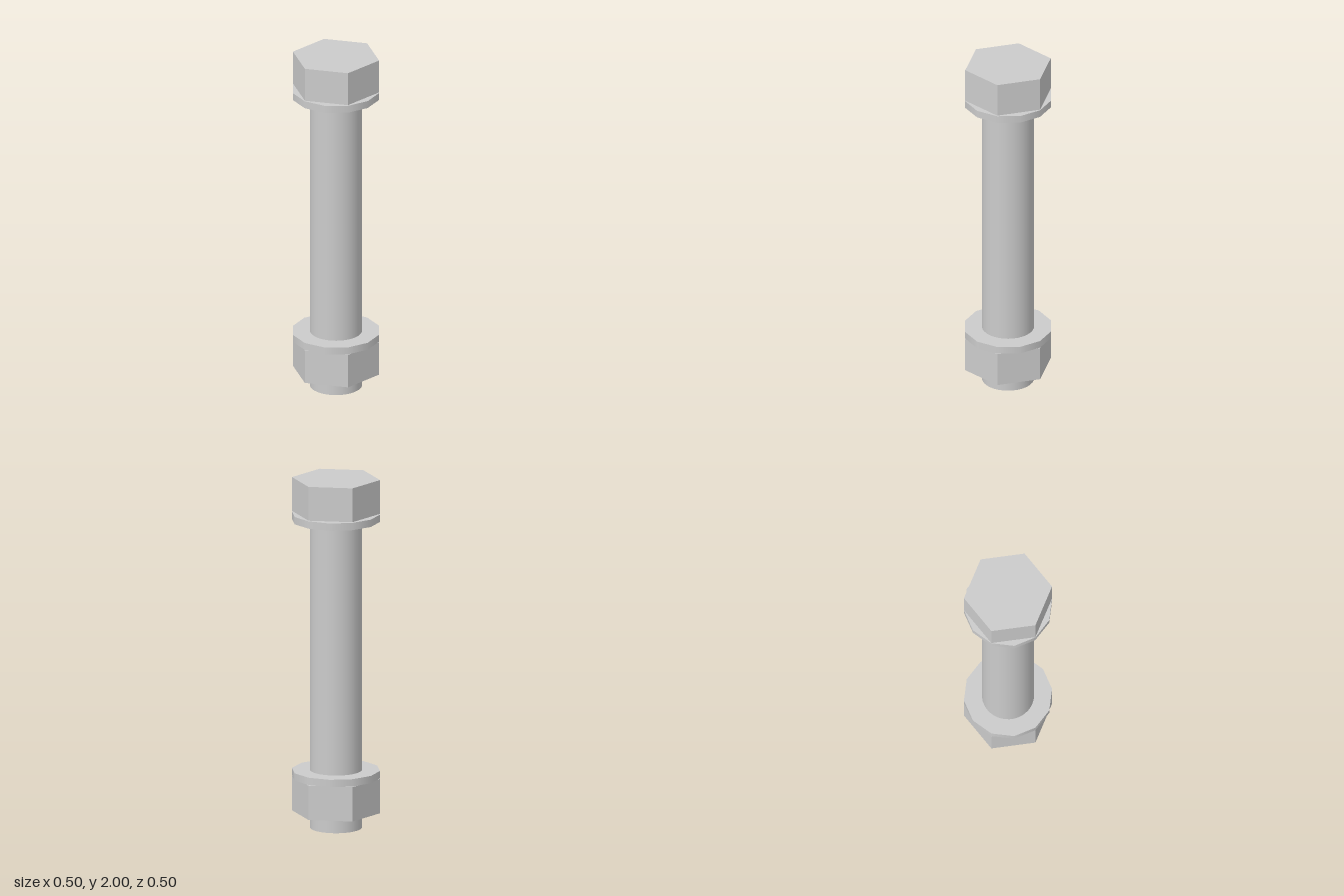
import * as THREE from 'three';

export function createModel() {
  const model = new THREE.Group();
  const smooth = new THREE.MeshStandardMaterial({ color: 0xcccccc });
  const flat = new THREE.MeshStandardMaterial({ color: 0xcccccc, flatShading: true });

  // upright cylinder or prism spanning y0..y1
  function addPrism(name, radius, y0, y1, sides, material, thetaStart = 0) {
    const geometry = new THREE.CylinderGeometry(radius, radius, y1 - y0, sides, 1, false, thetaStart);
    const mesh = new THREE.Mesh(geometry, material);
    mesh.name = name;
    mesh.position.y = (y0 + y1) / 2;
    model.add(mesh);
  }

  // round shank, running up into the head
  addPrism('shank', 0.146, 0, 1.9, 32, smooth);

  // hexagonal head and nut, corners pointing along x
  addPrism('head', 0.248, 1.806, 2, 6, flat, Math.PI / 2);
  addPrism('nut', 0.248, 0.088, 0.285, 6, flat, Math.PI / 2);

  // twelve-sided washers
  addPrism('upperWasher', 0.248, 1.76, 1.802, 12, smooth);
  addPrism('lowerWasher', 0.248, 0.289, 0.331, 12, smooth);

  return model;
}
